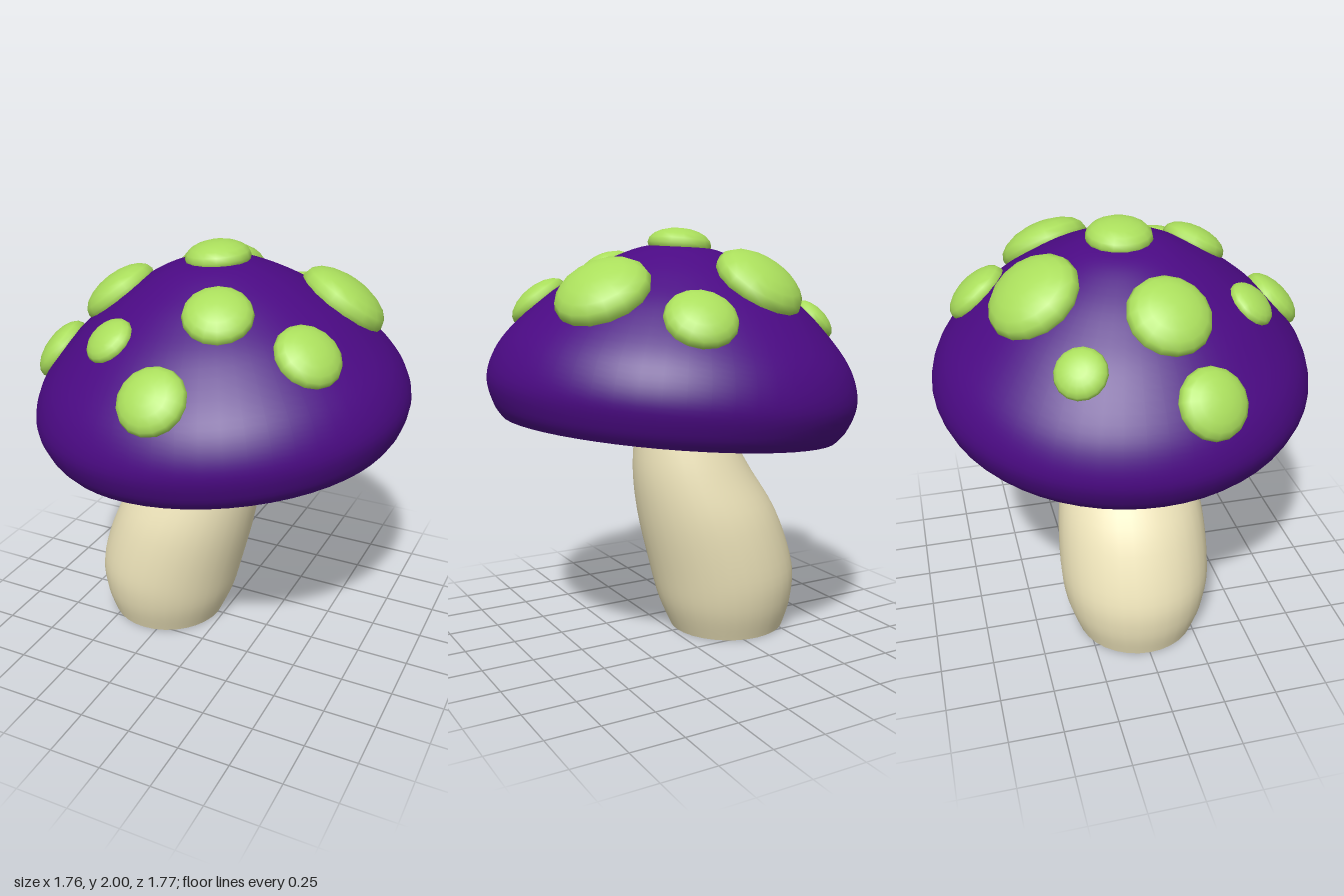
import * as THREE from 'three';
import { mergeVertices } from 'three/addons/utils/BufferGeometryUtils.js';

const mat = (color) => new THREE.MeshStandardMaterial({ color });
const spline = (pts) => new THREE.SplineCurve(pts.map(([x, y]) => new THREE.Vector2(x, y)));

function addMesh(parent, name, geometry, material) {
  const mesh = new THREE.Mesh(geometry, material);
  mesh.name = name;
  parent.add(mesh);
  return mesh;
}

// Stem rings: [height, radius, centre x]
const STEM = [
  [0, 0.29, -0.32], [0.15, 0.342, -0.308], [0.33, 0.365, -0.282], [0.6, 0.35, -0.2],
  [0.83, 0.293, -0.11], [1.04, 0.228, -0.05], [1.18, 0.18, -0.012], [1.34, 0.135, 0.015],
];

// Cap cross-sections: [radius, height above the rim]
const OUTER = [
  [0.805, -0.01], [0.85, 0.05], [0.885, 0.16], [0.862, 0.28], [0.79, 0.4],
  [0.64, 0.555], [0.5, 0.662], [0.35, 0.755], [0.18, 0.83], [0, 0.852],
];
const INNER = [[0, 0.24], [0.25, 0.222], [0.5, 0.165], [0.7, 0.075], [0.805, -0.01]];

// Spots: [x, z, radius] in the cap's own tilted frame
const SPOTS = [
  [0.032, -0.014, 0.152], [-0.156, -0.43, 0.218], [0.25, -0.63, 0.16], [0.53, -0.26, 0.22],
  [-0.567, -0.31, 0.115], [-0.438, 0.09, 0.187], [-0.728, 0.207, 0.158], [-0.253, 0.52, 0.116],
  [0.21, 0.39, 0.154], [0.58, 0.335, 0.153], [0.06, 0.75, 0.154],
];

// Round open stem whose horizontal rings are shifted along a bent centre line
function stemGeometry() {
  const radius = spline(STEM.map(([y, r]) => [r, y])).getPoints(32);
  const centre = spline(STEM.map(([y, , x]) => [x, y])).getPoints(64);
  const centreAt = (y) => {
    const i = Math.max(1, centre.findIndex((p) => p.y >= y - 1e-6));
    const a = centre[i - 1], b = centre[i];
    return THREE.MathUtils.lerp(a.x, b.x, (y - a.y) / (b.y - a.y));
  };
  let geo = new THREE.LatheGeometry(radius, 32);
  const pos = geo.attributes.position;
  for (let i = 0; i < pos.count; i++) pos.setX(i, pos.getX(i) + centreAt(pos.getY(i)));
  geo.deleteAttribute('uv');
  geo.deleteAttribute('normal');
  geo = mergeVertices(geo, 1e-4);
  geo.computeVertexNormals();
  return geo;
}

// Height and outward normal of the cap surface above a given point
function capSurface(profile, x, z) {
  const r = Math.hypot(x, z);
  let i = profile.length - 1;
  while (i > 1 && profile[i - 1].x < r) i--;
  const a = profile[i - 1], b = profile[i];
  const y = THREE.MathUtils.lerp(a.y, b.y, (r - a.x) / (b.x - a.x));
  const slope = r < 0.05 ? 0 : (b.y - a.y) / (a.x - b.x);
  const normal = new THREE.Vector3((x / r) * slope, 1, (z / r) * slope).normalize();
  return { point: new THREE.Vector3(x, y, z), normal };
}

export function createModel() {
  const model = new THREE.Group();
  model.name = 'mushroom';
  const cream = mat(0xf0e6bc), purple = mat(0x4b0a84), green = mat(0xaade5c);

  // Stem, open at the foot
  cream.side = THREE.DoubleSide;
  addMesh(model, 'stem', stemGeometry(), cream);

  // Tilted cap: domed outside, shallow hollow underneath
  const cap = new THREE.Group();
  cap.name = 'cap';
  cap.position.set(0.015, 1.075, 0);
  cap.rotation.z = 0.093;
  model.add(cap);
  const profile = spline(OUTER).getPoints(40);
  addMesh(cap, 'capTop', new THREE.LatheGeometry(profile, 56), purple);
  addMesh(cap, 'capUnderside', new THREE.LatheGeometry(spline(INNER).getPoints(20), 56), purple);

  // Flattened round spots lying on the cap
  const up = new THREE.Vector3(0, 1, 0);
  const blob = new THREE.SphereGeometry(1, 16, 10);
  for (const [x, z, r] of SPOTS) {
    const { point, normal } = capSurface(profile, x, z);
    const spot = addMesh(cap, 'spot', blob, green);
    spot.position.copy(point);
    spot.quaternion.setFromUnitVectors(up, normal);
    spot.scale.set(r, r * 0.5, r);
  }
  return model;
}
